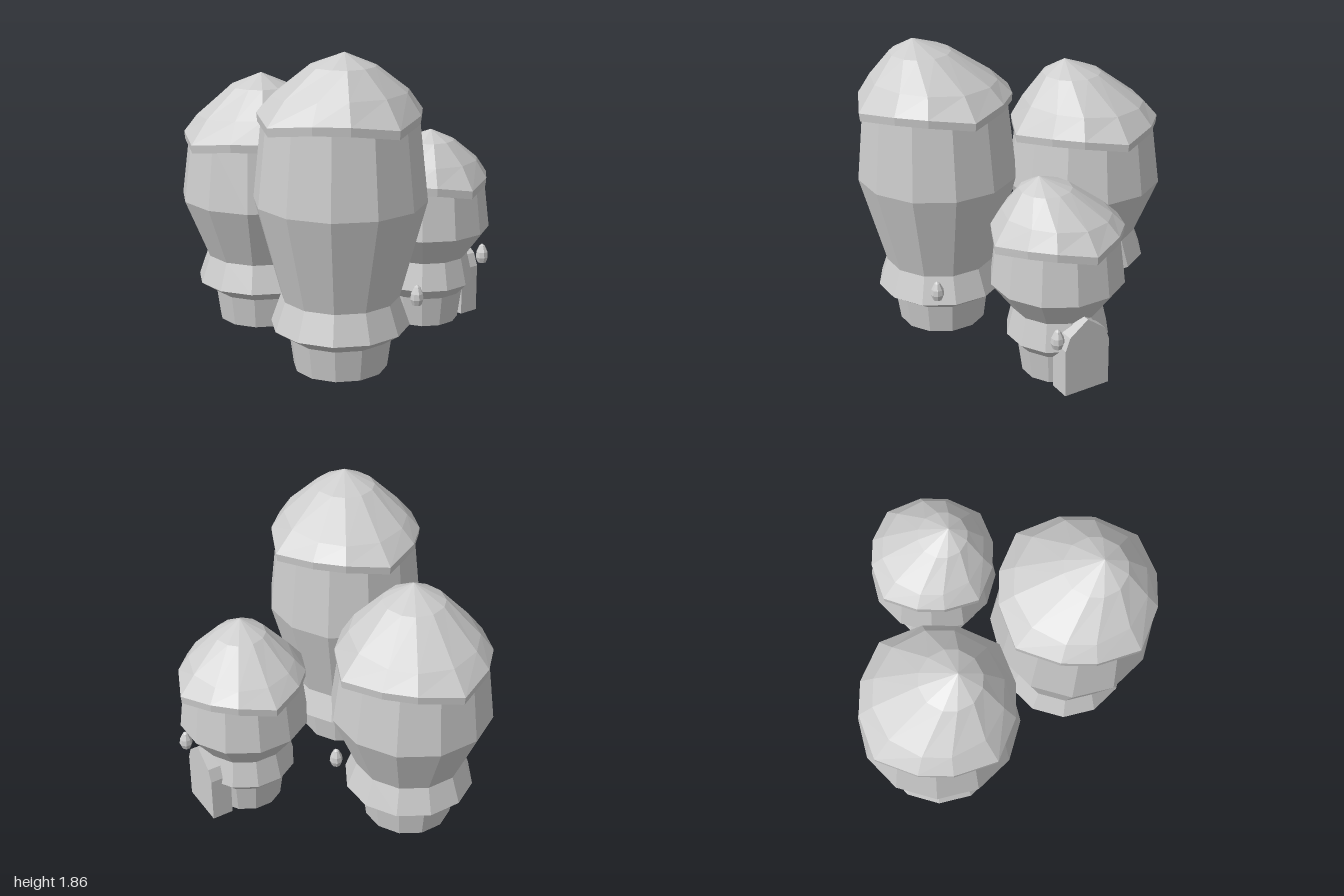
import * as THREE from 'three';

const stone = new THREE.MeshStandardMaterial({ color: 0xcccccc, side: THREE.DoubleSide, flatShading: true });
stone.name = 'pale grey';
const SIDES = 12;

function mesh(name, geometry) {
  const m = new THREE.Mesh(geometry, stone);
  m.name = name;
  return m;
}

// Twelve-sided turned shape; w gives half-widths across the flats
function turned(profile, sides = SIDES) {
  const k = 1 / Math.cos(Math.PI / sides);
  const points = profile.map(([w, y]) => new THREE.Vector2(w * k, y));
  return new THREE.LatheGeometry(points, sides, Math.PI / sides);
}

// Surface through a list of closed rings of equal length
function loft(rings) {
  const n = rings[0].length, index = [];
  for (let r = 0; r < rings.length - 1; r++) {
    for (let i = 0; i < n; i++) {
      const a = r * n + i, b = r * n + (i + 1) % n;
      index.push(a, b, b + n, a, b + n, a + n);
    }
  }
  const g = new THREE.BufferGeometry();
  g.setAttribute('position', new THREE.Float32BufferAttribute(rings.flat(2), 3));
  g.setIndex(index);
  g.computeVertexNormals();
  return g;
}

// Leaning cap with a wavy rim that dips and widens at four points
function capGeometry(R, rimY, height, leanX, leanZ) {
  const ring = (radius, y, wave, shift, tilt) => Array.from({ length: SIDES }, (_, i) => {
    const low = i % 3 === 0;
    const bend = low ? 0 : (i % 3 === 1 ? 0.04 : -0.04);
    const a = i / SIDES * Math.PI * 2 + bend;
    const r = radius * (low ? 1 : 1 - 0.075 * wave);
    return [
      Math.sin(a) * r + leanX * shift,
      y + (low ? 0 : 0.033 * wave) + Math.sin(a) * tilt,
      Math.cos(a) * r + leanZ * shift,
    ];
  });
  return loft([
    ring(R * 0.8, rimY - 0.03, 0.5, 0, 0),
    ring(R * 0.99, rimY - 0.05, 1, 0, 0),
    ring(R, rimY, 1, 0, 0),
    ring(R * 0.77, rimY + height * 0.35, 0.1, 0.05, 0.02),
    ring(R * 0.37, rimY + height * 0.79, 0, 0.65, 0),
    ring(0.001, rimY + height, 0, 1, 0),
  ]);
}

function tower({ name, x, z, profile, cap, lamp }) {
  const g = new THREE.Group();
  g.name = name;
  g.position.set(x, 0, z);
  // Open foot, flared skirt and bulging wall
  g.add(mesh('foot', turned(profile.slice(0, 2))));
  g.add(mesh('skirt', turned(profile.slice(1, 4))));
  g.add(mesh('wall', turned(profile.slice(3))));
  g.add(mesh('cap', capGeometry(...cap)));
  // Small hanging lantern behind the tower
  const lantern = mesh('lantern', turned(
    [[0.001, 0.34], [0.026, 0.34], [0.038, 0.375], [0.034, 0.41], [0.016, 0.45], [0.001, 0.462]], 8));
  lantern.position.set(lamp[0], 0, lamp[1]);
  g.add(lantern);
  return g;
}

export function createModel() {
  const model = new THREE.Group();
  model.name = 'towers';

  const bigBase = [[0.265, 0], [0.29, 0.19], [0.39, 0.26], [0.332, 0.43]];
  model.add(tower({
    name: 'tallTower', x: 0.49, z: 0.42,
    profile: [...bigBase, [0.48, 1.0], [0.43, 1.48]],
    cap: [0.505, 1.48, 0.38, 0.11, 0.06], lamp: [0.23, -0.39],
  }));
  model.add(tower({
    name: 'middleTower', x: -0.49, z: 0.27,
    profile: [...bigBase, [0.48, 0.8], [0.43, 1.2]],
    cap: [0.505, 1.185, 0.415, 0.11, 0.06], lamp: [0.24, -0.385],
  }));
  const small = tower({
    name: 'smallTower', x: 0.2, z: -0.51,
    profile: [[0.21, 0], [0.235, 0.19], [0.3, 0.26], [0.262, 0.43], [0.39, 0.61], [0.355, 0.91]],
    cap: [0.42, 0.91, 0.34, 0.095, 0.05], lamp: [0.2, -0.32],
  });

  // Pointed door block on the back of the small tower
  const arch = new THREE.Shape();
  [[-0.15, 0], [0.15, 0], [0.15, 0.3], [0.12, 0.38], [0, 0.47], [-0.12, 0.38], [-0.15, 0.3]]
    .forEach(([px, py], i) => (i ? arch.lineTo(px, py) : arch.moveTo(px, py)));
  const door = mesh('door', new THREE.ExtrudeGeometry(arch, { depth: 0.135, bevelEnabled: false }));
  door.position.z = -0.33;
  small.add(door);
  model.add(small);

  return model;
}
